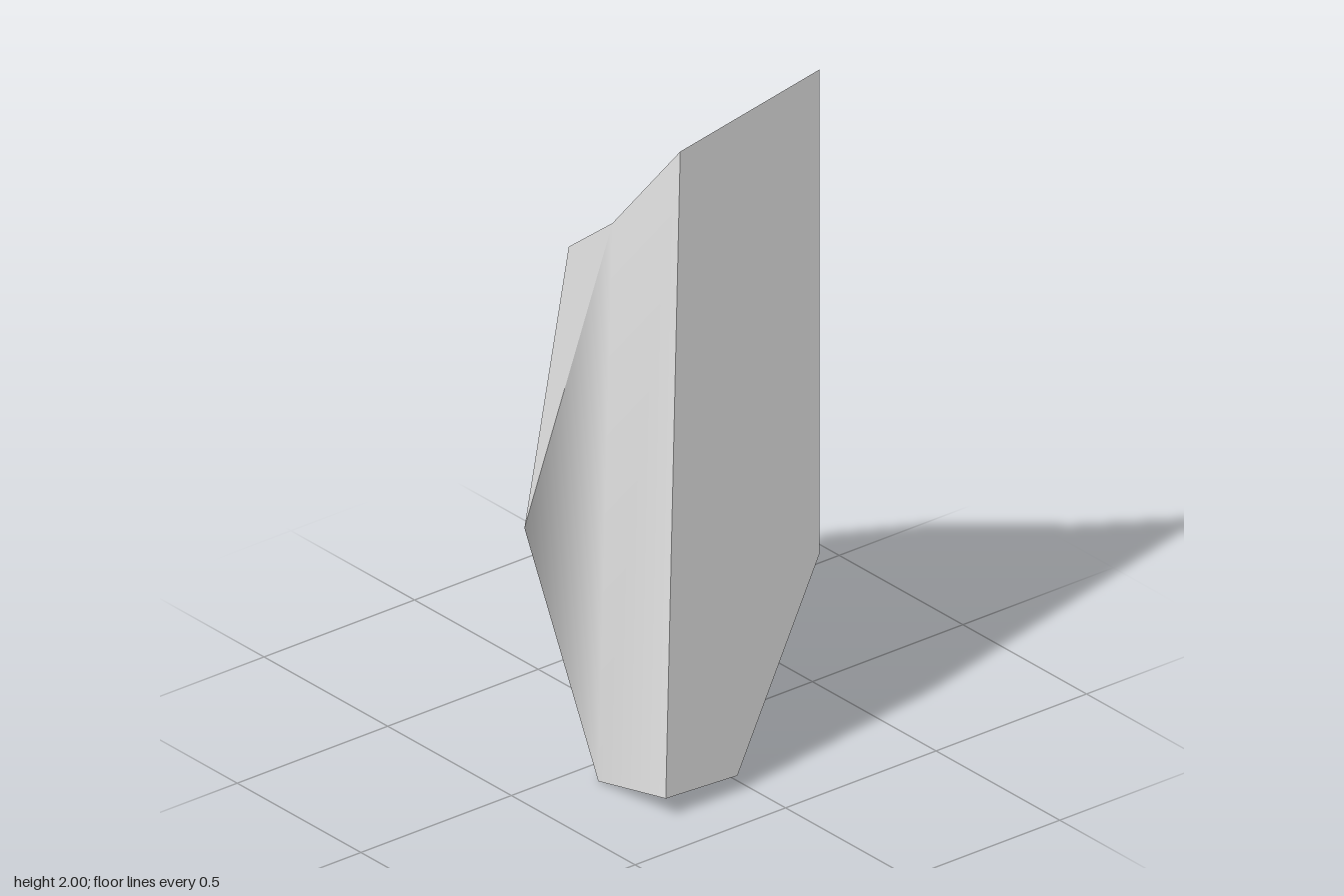
import * as THREE from 'three';

// Corner points of the stone shard
const P = {
  // flat cut side
  A: [0.354, 1.915, 0.23], B: [0.354, 2, -0.233], C: [0.354, 0.6, -0.233],
  D: [0.354, 0.048, 0.04], E: [0.354, 0.06, 0.278],
  // foot
  F: [0.08, 0, 0.277], G: [0.088, 0, -0.02],
  // upper ridge and left point
  H: [0.09, 1.592, -0.28], I: [0.09, 1.605, 0.238], J: [-0.2, 1.39, 0.145],
  K: [-0.19, 1.41, -0.145], L: [-0.355, 1.235, -0.04],
  // left flank; n repeats N so the crease there stays sharp
  M: [-0.237, 0.6, 0.262], N: [-0.237, 1.21, -0.203], n: [-0.237, 1.21, -0.203],
};

// Builds a mesh from triangles given as corner letters
function facets(name, triangles, material, smooth) {
  const keys = Object.keys(P);
  let geometry = new THREE.BufferGeometry();
  geometry.setAttribute('position', new THREE.Float32BufferAttribute(Object.values(P).flat(), 3));
  geometry.setIndex([...triangles.replace(/ /g, '')].map((k) => keys.indexOf(k)));
  if (!smooth) geometry = geometry.toNonIndexed();
  geometry.computeVertexNormals();
  const mesh = new THREE.Mesh(geometry, material);
  mesh.name = name;
  return mesh;
}

export function createModel() {
  const stone = new THREE.MeshStandardMaterial({ color: 0xe6e6e6 });
  stone.name = 'pale grey stone';

  const shard = new THREE.Group();
  shard.name = 'stoneShard';
  shard.add(
    // front, left flank and back wall share smooth normals
    facets('smoothWalls', 'FEA FAI FIM FMG MnG GNC GCD BCH CNH', stone, true),
    facets('cutSide', 'EDC ECB EBA', stone, false),
    facets('foot', 'FGD FDE', stone, false),
    facets('topSlope', 'HIA HAB JIH JHK', stone, false),
    facets('chippedCorner', 'KHN KNL LJK LMJ JMI NML', stone, false),
  );
  return shard;
}
